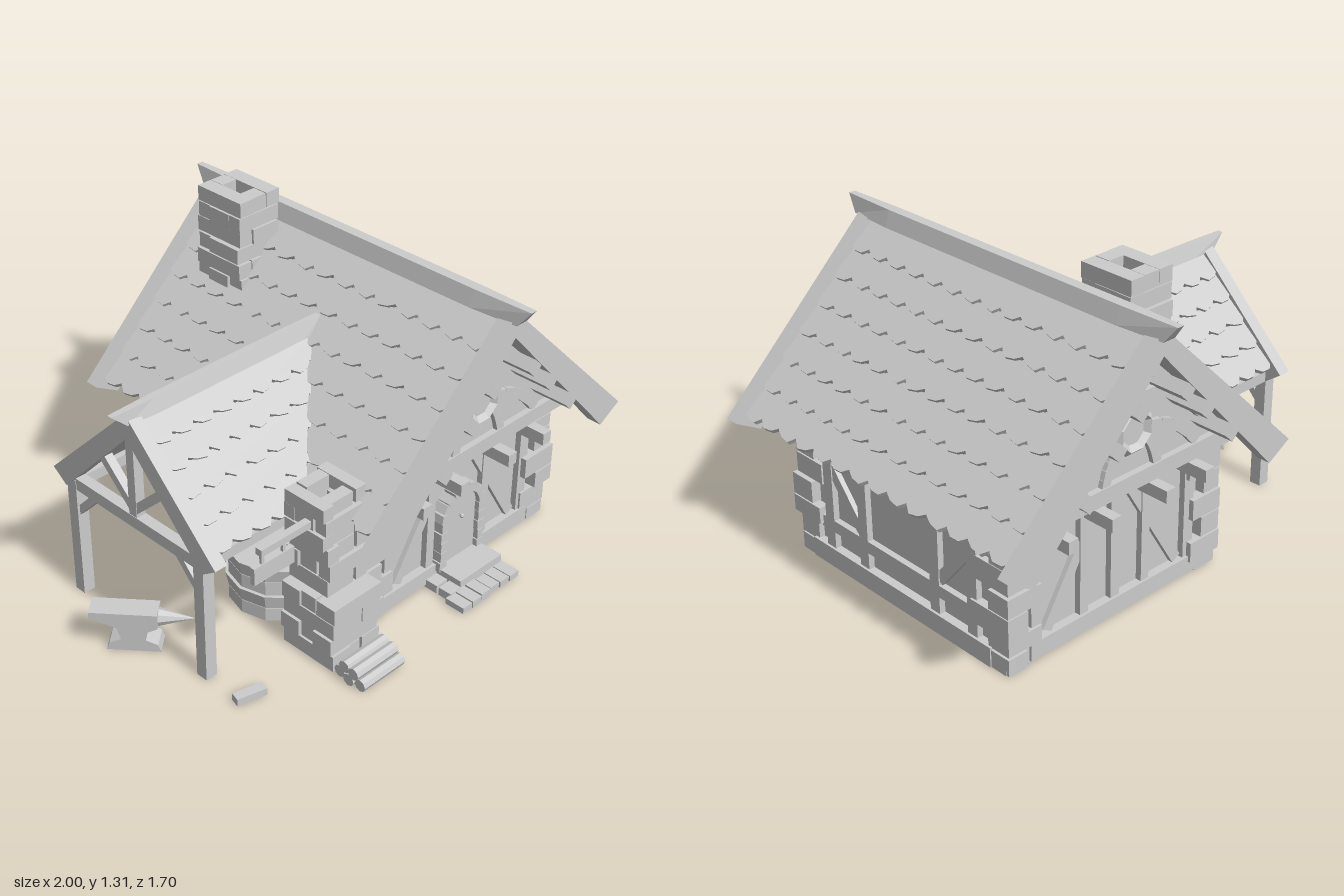
import * as THREE from 'three';

export function createModel() {
  const root = new THREE.Group();
  root.name = 'smithyCottage';
  const clay = new THREE.MeshStandardMaterial({ color: 0xcccccc, flatShading: true });
  clay.name = 'pale grey';
  let seed = 7;
  const rnd = (a, b) => {
    seed = (seed * 16807) % 2147483647;
    return a + (b - a) * (seed / 2147483647);
  };
  const group = (name, parent = root) => {
    const g = new THREE.Group();
    g.name = name;
    parent.add(g);
    return g;
  };
  const add = (parent, name, geo, x = 0, y = 0, z = 0) => {
    const m = new THREE.Mesh(geo, clay);
    m.name = name;
    m.position.set(x, y, z);
    parent.add(m);
    return m;
  };
  const box = (p, name, w, h, d, x, y, z) => add(p, name, new THREE.BoxGeometry(w, h, d), x, y, z);
  const extrude = (pts, depth) => new THREE.ExtrudeGeometry(
    new THREE.Shape(pts.map(([x, y]) => new THREE.Vector2(x, y))), { depth, bevelEnabled: false });
  // Beam lying in a local xy plane between two points
  const beam = (p, name, x1, y1, x2, y2, w, d, z) => {
    const m = box(p, name, Math.hypot(x2 - x1, y2 - y1), w, d, (x1 + x2) / 2, (y1 + y2) / 2, z);
    m.rotation.z = Math.atan2(y2 - y1, x2 - x1);
    return m;
  };

  const CX = 0.31, WZ = 0.02; // ridge lines of the house and of the wing

  // House body
  const body = group('houseBody');
  box(body, 'foundation', 1.06, 0.07, 1.15, CX, 0.035, 0);
  box(body, 'walls', 1.0, 0.56, 1.1, CX, 0.28, 0);
  add(body, 'gableBlock', extrude([[-0.53, 0.53], [0.53, 0.53], [0.53, 0.57], [0, 1.1], [-0.53, 0.57]], 1.26), CX, 0, -0.63);

  // Corner stones
  const quoins = group('cornerStones');
  for (const sx of [-1, 1]) for (const sz of [-1, 1]) {
    for (let y = 0, i = 0; y < 0.53; i++) {
      const h = Math.min(rnd(0.055, 0.1), 0.55 - y);
      const w = i % 2 ? rnd(0.14, 0.17) : rnd(0.08, 0.11), d = i % 2 ? rnd(0.08, 0.12) : rnd(0.15, 0.2);
      const out = rnd(-0.01, 0.012);
      box(quoins, 'cornerStone', w, h - 0.006, d, CX + sx * (0.53 + out - w / 2), y + h / 2, sz * (0.59 + out - d / 2));
      y += h;
    }
  }

  // Timber framing of the two gable ends
  for (const front of [true, false]) {
    const g = group(front ? 'frontFraming' : 'backFraming');
    g.position.x = CX;
    if (!front) g.rotation.y = Math.PI;
    beam(g, 'sill', -0.42, 0.045, 0.42, 0.045, 0.07, 0.05, 0.56);
    beam(g, 'tieBeam', -0.53, 0.585, 0.53, 0.585, 0.06, 0.05, 0.63);
    beam(g, 'wallPlate', -0.5, 0.53, 0.5, 0.53, 0.05, 0.04, 0.555);
    for (const s of [-1, 1]) {
      beam(g, 'post', s * 0.385, 0.06, s * 0.385, 0.54, 0.05, 0.04, 0.555);
      beam(g, 'innerPost', s * 0.155, 0.06, s * 0.155, 0.54, 0.04, 0.04, 0.555);
      beam(g, 'brace', s * 0.33, 0.09, s * 0.08, 0.5, 0.045, 0.03, 0.555);
      for (const u of [0.135, 0.34]) box(g, 'joistEnd', 0.045, 0.05, 0.16, s * u, 0.5, 0.63);
      // Curved braces below the round window
      const c = new THREE.QuadraticBezierCurve(
        new THREE.Vector2(s * 0.07, 0.74), new THREE.Vector2(s * 0.11, 0.7), new THREE.Vector2(s * 0.13, 0.6));
      const c2 = new THREE.QuadraticBezierCurve(
        new THREE.Vector2(s * 0.09, 0.77), new THREE.Vector2(s * 0.22, 0.76), new THREE.Vector2(s * 0.33, 0.62));
      for (const curve of [c, c2]) {
        const p = curve.getPoints(5);
        for (let i = 0; i < 5; i++) beam(g, 'curvedBrace', p[i].x, p[i].y, p[i + 1].x, p[i + 1].y, 0.04, 0.03, 0.635);
      }
      beam(g, 'rafter', s * 0.5, 0.59, s * 0.02, 1.07, 0.06, 0.04, 0.635);
      // Purlins carrying the overhang
      for (const [u, y] of [[0.35, 0.7], [0.215, 0.84], [0.11, 0.945]]) {
        box(g, 'purlin', 0.05, 0.05, 0.2, s * u, y, 0.695).rotation.z = s * Math.PI / 4;
      }
    }
    beam(g, 'kingPost', 0, 0.86, 0, 1.06, 0.05, 0.03, 0.635);
    beam(g, 'collar', -0.17, 0.9, 0.17, 0.9, 0.035, 0.03, 0.635);
    const ring = add(g, 'roundWindowFrame', new THREE.TorusGeometry(0.075, 0.02, 4, 8), 0, 0.785, 0.65);
    ring.rotation.z = Math.PI / 8;
    const pane = add(g, 'roundWindowPane', new THREE.CylinderGeometry(0.065, 0.065, 0.02, 8), 0, 0.785, 0.64);
    pane.rotation.x = Math.PI / 2;
    if (!front) beam(g, 'middlePost', 0, 0.06, 0, 0.54, 0.045, 0.04, 0.555);
  }

  // Timber framing of the long sides
  for (const side of [-1, 1]) {
    const g = group(side > 0 ? 'leftFraming' : 'rightFraming');
    g.position.x = CX;
    g.rotation.y = side * Math.PI / 2;
    beam(g, 'sill', -0.5, 0.04, 0.5, 0.04, 0.08, 0.06, 0.505);
    beam(g, 'rail', -0.45, 0.175, 0.45, 0.175, 0.05, 0.04, 0.505);
    beam(g, 'wallPlate', -0.5, 0.535, 0.5, 0.535, 0.05, 0.05, 0.505);
    for (const s of [-1, 1]) {
      beam(g, 'post', s * 0.2, 0.05, s * 0.2, 0.54, 0.05, 0.04, 0.505);
      beam(g, 'outerPost', s * 0.4, 0.05, s * 0.4, 0.54, 0.05, 0.04, 0.505);
      beam(g, 'brace', s * 0.22, 0.22, s * 0.42, 0.46, 0.045, 0.03, 0.505);
    }
  }

  // Arched door, its stones and steps
  const door = group('frontDoor');
  door.position.set(CX, 0, 0.55);
  const arch = new THREE.Shape();
  arch.moveTo(-0.09, 0.05);
  arch.lineTo(0.09, 0.05);
  arch.lineTo(0.09, 0.27);
  arch.absarc(0, 0.27, 0.09, 0, Math.PI, false);
  add(door, 'doorLeaf', new THREE.ExtrudeGeometry(arch, { depth: 0.035, bevelEnabled: false, curveSegments: 8 }));
  for (const s of [-1, 1]) for (let i = 0; i < 5; i++) {
    box(door, 'jambStone', rnd(0.03, 0.04), 0.042, 0.06, s * 0.107, 0.07 + i * 0.045, 0.025);
  }
  for (let i = 0; i < 9; i++) {
    const a = (i + 0.5) * Math.PI / 9;
    box(door, 'archStone', 0.036, 0.036, 0.06, 0.107 * Math.cos(a), 0.27 + 0.107 * Math.sin(a), 0.025).rotation.z = a;
  }
  add(door, 'doorKnob', new THREE.SphereGeometry(0.01, 6, 4), 0, 0.25, 0.045);
  box(door, 'upperStep', 0.24, 0.06, 0.13, 0, 0.03, 0.09);
  for (let i = 0; i < 6; i++) box(door, 'stepStone', 0.05, rnd(0.025, 0.04), rnd(0.07, 0.09), -0.18 + i * 0.055, 0.017, 0.2);
  for (let i = 0; i < 2; i++) box(door, 'sideStepStone', 0.06, 0.035, 0.06, -0.15, 0.017, 0.06 + i * 0.07);

  // One roof slope with overlapping scalloped courses; local x runs along the ridge
  function roofSlope(name, ridge, dir, angle, length, rows, tileW, range) {
    const g = group(name);
    const s = Math.sin(angle), c = Math.cos(angle);
    const up = dir.clone().multiplyScalar(-c).setY(s), n = dir.clone().multiplyScalar(s).setY(c);
    g.applyMatrix4(new THREE.Matrix4().makeBasis(up.clone().cross(n), up, n).setPosition(ridge));
    const h = length / rows;
    const [a0, b0] = range(0), [a1, b1] = range(length - 0.02);
    add(g, 'roofDeck', extrude([[a1, 0.02 - length], [b1, 0.02 - length], [b0, 0], [a0, 0]], 0.03), 0, 0, -0.03);
    for (let i = 0; i < rows; i++) {
      const [a, b] = range((i + 0.5) * h), count = Math.max(1, Math.round((b - a) / tileW)), w = (b - a) / count;
      const pts = [[b, 0], [a, 0]];
      for (let k = 0; k < count; k++) {
        const x = a + k * w, j = rnd(-0.005, 0.005);
        pts.push([x, -h + 0.008], [x + 0.3 * w, -h - 0.012 + j], [x + 0.7 * w, -h - 0.012 - j], [x + 0.97 * w, -h + 0.012]);
      }
      pts.push([b, -h]);
      add(g, 'shingleCourse', extrude(pts, 0.018), 0, -i * h, 0).rotation.x = -0.1;
    }
  }
  for (const s of [-1, 1]) {
    roofSlope('mainRoofSlope', new THREE.Vector3(CX, 1.15, 0), new THREE.Vector3(s, 0, 0), 0.77, 0.87, 7, 0.105, () => [-0.73, 0.73]);
    // The wing slopes stop just beneath the main roof
    roofSlope('wingRoofSlope', new THREE.Vector3(0, 0.915, WZ), new THREE.Vector3(0, 0, s), 0.79, 0.53, 5, 0.1, (v) => {
      const end = 0.915 - v * 0.71 - 0.8;
      return s > 0 ? [-0.78, end] : [-end, 0.78];
    });
    // Barge boards
    const board = [[0, 1.21], [0, 1.11], [0.585, 0.48], [0.69, 0.54]].map(([x, y]) => [s * x, y]);
    for (const z of [-0.78, 0.72]) add(root, 'bargeBoard', extrude(board, 0.06), CX, 0, z);
    const small = [[0, 0.96], [0, 0.86], [0.37, 0.48], [0.44, 0.53]].map(([x, y]) => [s * x, y]);
    add(root, 'wingBargeBoard', extrude(small, 0.055), -0.825, 0, WZ).rotation.y = Math.PI / 2;
  }

  // Ridge caps, tapering upward with flared ends
  function ridgeCap(name, x0, x1, y0, y1, flare0, flare1, wide) {
    const geo = new THREE.BoxGeometry(x1 - x0, y1 - y0, wide, 8, 1, 1);
    const p = geo.attributes.position;
    for (let i = 0; i < p.count; i++) {
      const top = p.getY(i) > 0, e = p.getX(i) / ((x1 - x0) / 2);
      if (top) p.setZ(i, p.getZ(i) * 0.5);
      if (Math.abs(e) > 0.99) {
        p.setZ(i, p.getZ(i) * 0.65);
        if (top) p.setX(i, p.getX(i) + (e > 0 ? flare1 : -flare0));
      }
    }
    geo.computeVertexNormals();
    return add(root, name, geo, (x0 + x1) / 2, (y0 + y1) / 2, WZ);
  }
  const mainCap = ridgeCap('mainRidgeCap', -0.8, 0.8, 1.175, 1.24, 0.05, 0.05, 0.085);
  mainCap.rotation.y = Math.PI / 2;
  mainCap.position.set(CX, 1.2075, 0);
  ridgeCap('wingRidgeCap', -0.83, 0.12, 0.925, 0.98, 0.06, 0, 0.065);

  // Open wing: posts, plates and truss
  const wing = group('wingFrame');
  for (const s of [-1, 1]) {
    const z = WZ + s * 0.345;
    box(wing, 'post', 0.05, 0.52, 0.05, -0.795, 0.26, z);
    box(wing, 'wallPlate', 0.62, 0.045, 0.045, -0.5, 0.5, z);
  }
  const truss = group('truss', wing);
  truss.position.set(-0.795, 0, WZ);
  truss.rotation.y = -Math.PI / 2;
  beam(truss, 'tieBeam', -0.37, 0.505, 0.37, 0.505, 0.05, 0.045, 0);
  beam(truss, 'kingPost', 0, 0.5, 0, 0.9, 0.04, 0.04, 0);
  for (const s of [-1, 1]) {
    beam(truss, 'strut', 0, 0.55, s * 0.17, 0.71, 0.035, 0.035, 0);
    beam(truss, 'kneeBrace', s * 0.345, 0.36, s * 0.22, 0.49, 0.03, 0.03, 0);
  }

  // Hollow stacks of stone blocks
  function stoneStack(name, x, z, w, d, y0, y1, t, lean = 0) {
    const g = group(name);
    const n = Math.round((y1 - y0) / 0.065), h = (y1 - y0) / n;
    for (let i = 0; i < n; i++) {
      const y = y0 + (i + 0.5) * h, o = lean * (i / n - 0.5), f = i % 2;
      for (const s of [-1, 1]) {
        const j = rnd(-0.008, 0.008);
        box(g, 'stone', f ? w : w - 2 * t, h - 0.004, t, x + o + j, y, z + s * (d - t) / 2 + j);
        box(g, 'stone', t, h - 0.004, f ? d - 2 * t : d, x + o + s * (w - t) / 2 - j, y, z + j);
      }
    }
    return g;
  }
  stoneStack('roofChimney', 0.165, -0.475, 0.2, 0.235, 0.86, 1.31, 0.065, 0.02);
  stoneStack('forgeBase', -0.35, 0.55, 0.24, 0.25, 0, 0.28, 0.09);
  stoneStack('forgeShaft', -0.34, 0.52, 0.2, 0.19, 0.28, 0.5, 0.055);
  stoneStack('forgeTop', -0.355, 0.515, 0.21, 0.19, 0.5, 0.68, 0.05);

  // Rounded hearth against the wall below the wing
  const hearth = group('hearth');
  for (let i = 0; i < 4; i++) {
    add(hearth, 'hearthCourse', new THREE.CylinderGeometry(0.2 + (i % 2) * 0.012, 0.2, 0.058, 12), -0.27, 0.03 + i * 0.06, 0.2);
  }

  // Log pile
  const logs = group('logPile');
  for (const [y, z] of [[0.025, 0.705], [0.025, 0.76], [0.025, 0.81], [0.067, 0.735], [0.067, 0.785]]) {
    add(logs, 'log', new THREE.CylinderGeometry(0.025, 0.025, 0.21, 8), -0.37 + rnd(-0.008, 0.008), y, z).rotation.z = Math.PI / 2;
  }

  // Hanging board on an arm
  const sign = group('hangingBoard');
  box(sign, 'arm', 0.25, 0.028, 0.03, -0.57, 0.585, 0.535);
  box(sign, 'board', 0.19, 0.07, 0.02, -0.63, 0.497, 0.535);
  for (const x of [-0.68, -0.58]) box(sign, 'hanger', 0.012, 0.06, 0.012, x, 0.55, 0.535);

  // Anvil: stepped outline with a pointed horn
  const anvil = group('anvil');
  anvil.position.set(-0.865, 0, 0.055);
  anvil.rotation.y = -0.86;
  add(anvil, 'anvilBody', extrude([[-0.1, 0], [0.1, 0], [0.09, 0.03], [0.045, 0.05], [0.05, 0.085], [0.09, 0.105],
    [0.09, 0.165], [-0.16, 0.165], [-0.16, 0.14], [-0.06, 0.1], [-0.045, 0.05], [-0.09, 0.03]], 0.09), 0, 0, -0.045);
  const horn = add(anvil, 'anvilHorn', new THREE.ConeGeometry(0.036, 0.14, 8), 0.155, 0.128, 0);
  horn.rotation.z = -Math.PI / 2;
  box(root, 'looseBrick', 0.12, 0.03, 0.04, -0.77, 0.015, 0.56).rotation.y = -0.25;

  return root;
}
